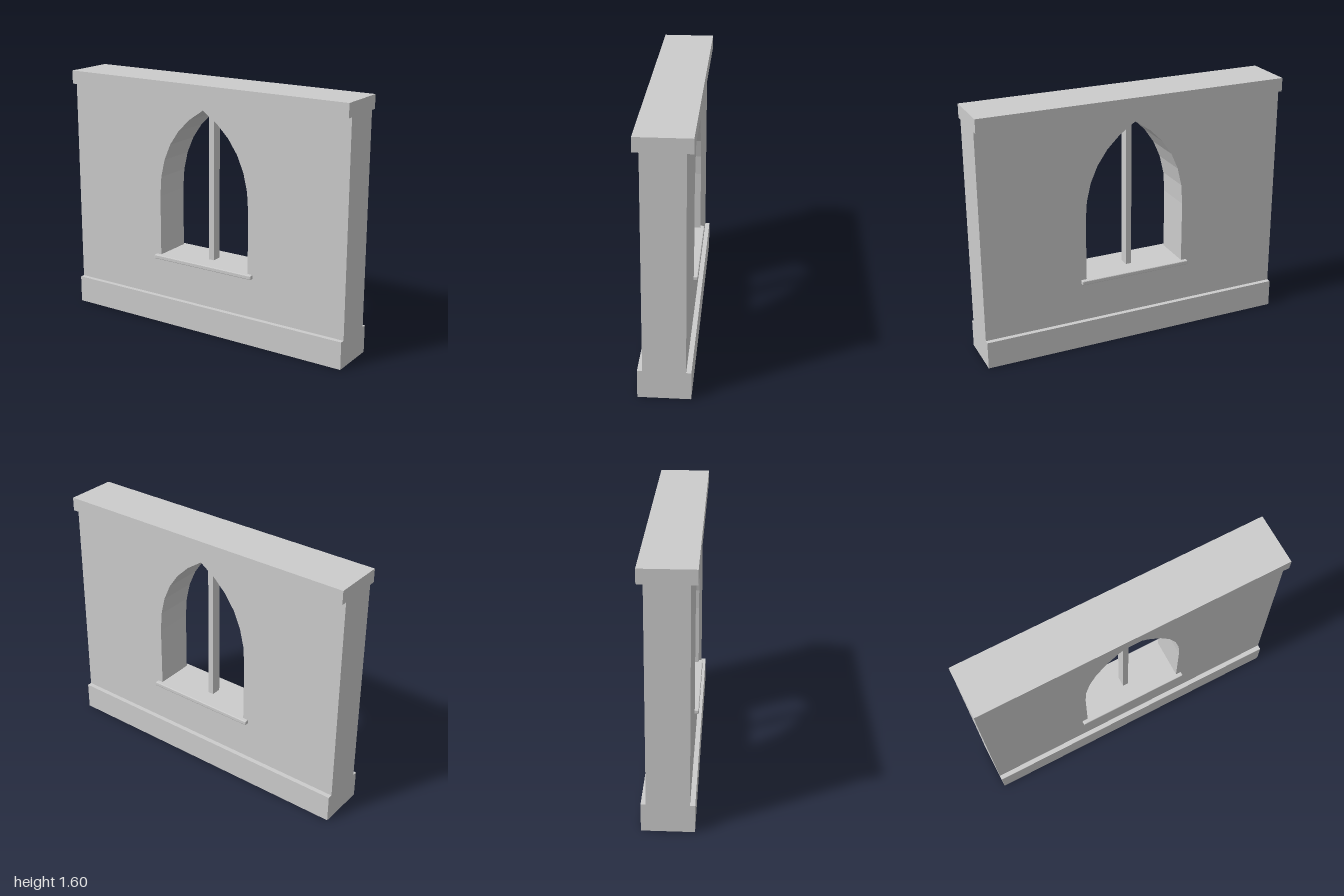
import * as THREE from 'three';
import { RoundedBoxGeometry } from 'three/addons/geometries/RoundedBoxGeometry.js';

const material = new THREE.MeshStandardMaterial({ color: 0xcccccc, flatShading: true });

function add(group, name, geometry, y = 0) {
  const mesh = new THREE.Mesh(geometry, material);
  mesh.name = name;
  mesh.position.y = y;
  group.add(mesh);
}

// Box spanning bottom to top, centred on x and z
function addBlock(group, name, width, bottom, top, depth, bevel = 0) {
  const height = top - bottom;
  const geometry = bevel
    ? new RoundedBoxGeometry(width, height, depth, 1, bevel)
    : new THREE.BoxGeometry(width, height, depth);
  add(group, name, geometry, (bottom + top) / 2);
}

export function createModel() {
  const group = new THREE.Group();
  group.name = 'archedWindowWall';

  const baseTop = 0.176, capBottom = 1.514, wallDepth = 0.252;
  const halfOpening = 0.33, springY = 0.85, apexY = 1.44, shoulderY = 1.25;

  // Wall panel with a pointed arch opening
  const wall = new THREE.Shape([
    new THREE.Vector2(-1, baseTop), new THREE.Vector2(1, baseTop),
    new THREE.Vector2(1, capBottom), new THREE.Vector2(-1, capBottom),
  ]);
  const opening = new THREE.Path();
  opening.moveTo(-halfOpening, 0.445);
  opening.lineTo(-halfOpening, springY);
  opening.quadraticCurveTo(-halfOpening, shoulderY, 0, apexY);
  opening.quadraticCurveTo(halfOpening, shoulderY, halfOpening, springY);
  opening.lineTo(halfOpening, 0.445);
  opening.closePath();
  wall.holes.push(opening);
  const wallGeometry = new THREE.ExtrudeGeometry(wall, {
    depth: wallDepth, bevelEnabled: false, curveSegments: 6,
  });
  wallGeometry.translate(0, 0, -wallDepth / 2);
  add(group, 'wall', wallGeometry);

  // Plinth and coping run the full length
  addBlock(group, 'plinth', 2, 0, baseTop, 0.312);
  addBlock(group, 'coping', 2, capBottom, 1.6, 0.328);

  // Window sill through the wall, and the central mullion standing on it
  addBlock(group, 'sill', 0.734, 0.43, 0.457, 0.304, 0.005);
  addBlock(group, 'mullion', 0.037, 0.45, 1.43, 0.065);

  return group;
}
